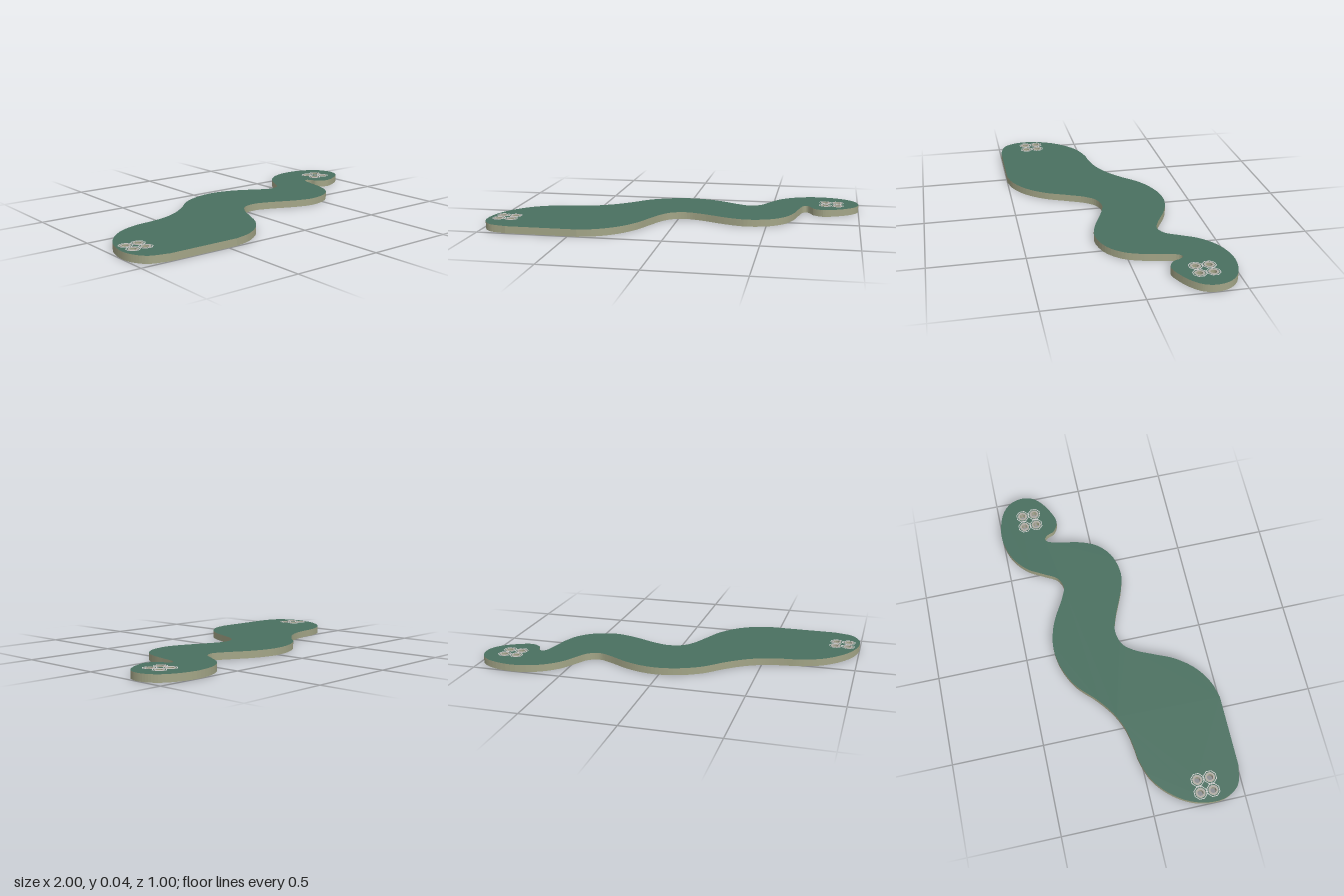
import * as THREE from 'three';

const BOTTOM = 0.001, TOP = 0.04, PITCH = 0.07, HOLE = 0.016;

// Board outline as x, z pairs; the last edge back to the start is straight
const OUTLINE = [
  -0.45, 0.5, -0.36, 0.475, -0.26, 0.41, -0.18, 0.31, -0.13, 0.2, -0.08, 0.095, -0.03, 0.04, 0.05, 0.02,
  0.13, 0.04, 0.3, 0.11, 0.4, 0.13, 0.52, 0.1, 0.6, 0.03, 0.64, -0.06, 0.66, -0.15, 0.685, -0.245,
  0.705, -0.258, 0.726, -0.24, 0.743, -0.2, 0.8, -0.17, 0.88, -0.195, 0.95, -0.24, 0.987, -0.285, 1, -0.345,
  0.98, -0.415, 0.92, -0.47, 0.78, -0.505, 0.64, -0.475, 0.54, -0.4, 0.485, -0.31, 0.44, -0.235, 0.38, -0.21,
  0.32, -0.23, 0.2, -0.295, 0.12, -0.325, 0.02, -0.34, -0.1, -0.32, -0.22, -0.26, -0.32, -0.165, -0.42, -0.09,
  -0.52, -0.045, -0.62, -0.025, -0.7, -0.015, -0.82, 0.03, -0.92, 0.12, -0.98, 0.225, -1, 0.34, -0.985, 0.41,
  -0.94, 0.47, -0.84, 0.5,
];

// Centres of the two 2 x 2 pad groups, x and z
const CLUSTERS = { leftPads: [0.845, -0.326], rightPads: [-0.904, 0.3] };

const padCentres = ([cx, cz]) =>
  [[-1, -1], [1, -1], [-1, 1], [1, 1]].map(([i, j]) => [cx + (i * PITCH) / 2, cz + (j * PITCH) / 2]);

const material = (color) => new THREE.MeshStandardMaterial({ color });

// Thin flat ring lying in the xz plane, from height y to y + h
function ring(outer, inner, sides, y, h, turn = 0) {
  const circle = (r, n) => Array.from({ length: n }, (_, i) => {
    const a = turn + (i / n) * Math.PI * 2;
    return new THREE.Vector2(r * Math.cos(a), r * Math.sin(a));
  });
  const shape = new THREE.Shape(circle(outer, sides));
  shape.holes.push(new THREE.Path(circle(inner, sides)));
  return new THREE.ExtrudeGeometry(shape, { depth: h, bevelEnabled: false })
    .rotateX(-Math.PI / 2).translate(0, y, 0);
}

function createBoard() {
  const points = [];
  for (let i = 0; i < OUTLINE.length; i += 2) points.push(new THREE.Vector3(OUTLINE[i], -OUTLINE[i + 1], 0));
  const curve = new THREE.CatmullRomCurve3(points, false, 'centripetal');
  const shape = new THREE.Shape(curve.getPoints(245).map((p) => new THREE.Vector2(p.x, p.y)));
  // drilled holes
  for (const centre of Object.values(CLUSTERS)) {
    for (const [x, z] of padCentres(centre)) {
      shape.holes.push(new THREE.Path().absarc(x, -z, HOLE, 0, Math.PI * 2, true));
    }
  }
  const geometry = new THREE.ExtrudeGeometry(shape, {
    depth: TOP - BOTTOM, bevelEnabled: false, curveSegments: 16,
  });
  geometry.rotateX(-Math.PI / 2).translate(0, BOTTOM, 0);
  const board = new THREE.Mesh(geometry, [material(0x4a7060), material(0xa3a587)]);
  board.name = 'board';
  return board;
}

export function createModel() {
  const model = new THREE.Group();
  model.name = 'circuitBoard';
  model.add(createBoard());

  const metal = material(0xb0aca4), ink = material(0xcccccc);
  const barrelMetal = metal.clone();
  barrelMetal.side = THREE.DoubleSide;
  const parts = [
    ['topPad', ring(0.027, HOLE, 32, TOP, 0.001), metal],
    ['bottomPad', ring(0.027, HOLE, 32, 0, 0.001), metal],
    ['holeLining', new THREE.CylinderGeometry(HOLE, HOLE, TOP, 32, 1, true).translate(0, TOP / 2, 0), barrelMetal],
    ['printedOutline', ring(0.0375, 0.033, 8, TOP, 0.0012, Math.PI / 8), ink],
  ];
  for (const [name, centre] of Object.entries(CLUSTERS)) {
    const cluster = new THREE.Group();
    cluster.name = name;
    for (const [x, z] of padCentres(centre)) {
      for (const [partName, geometry, mat] of parts) {
        const mesh = new THREE.Mesh(geometry, mat);
        mesh.name = partName;
        mesh.position.set(x, 0, z);
        cluster.add(mesh);
      }
    }
    model.add(cluster);
  }
  return model;
}
